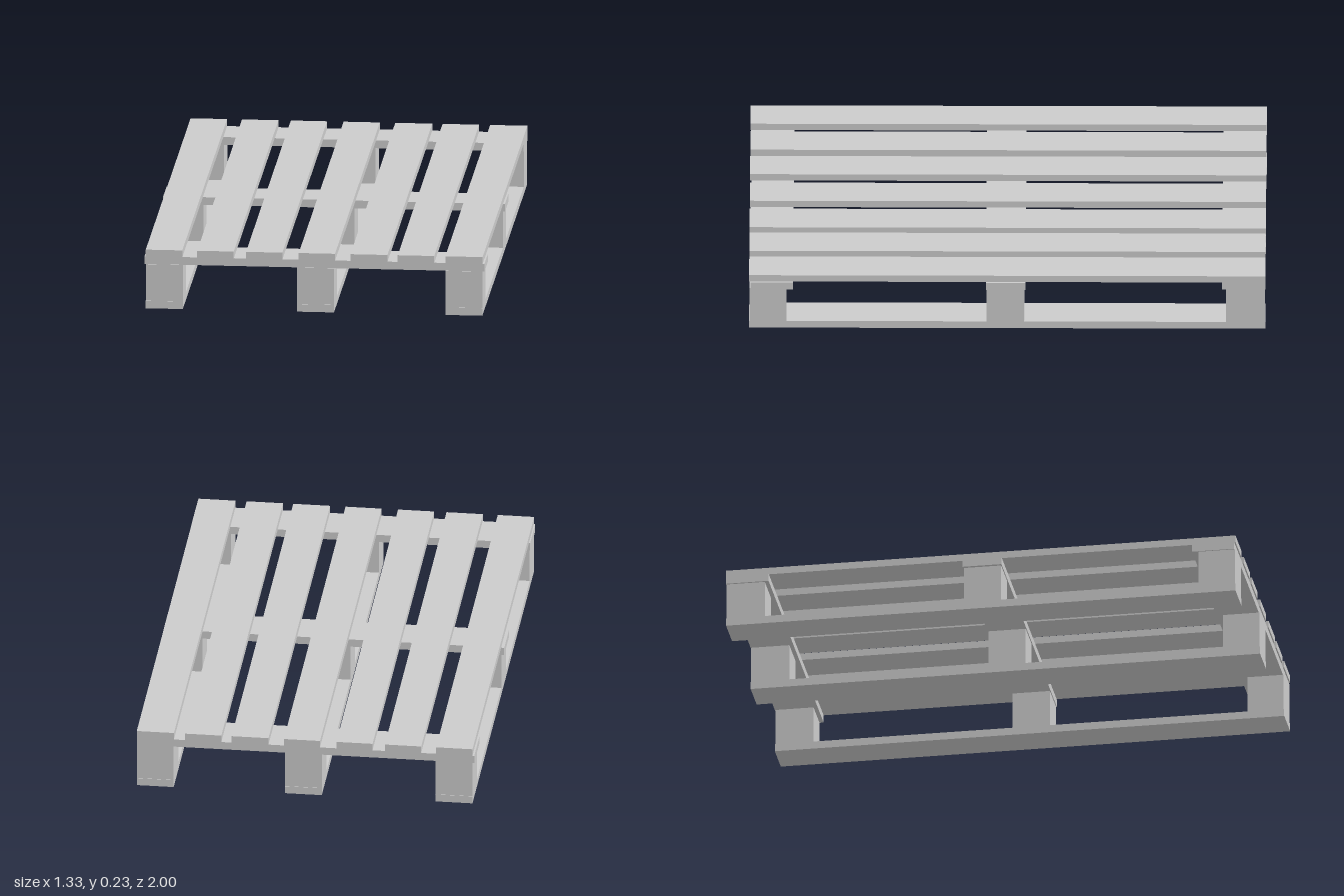
import * as THREE from 'three';

const material = new THREE.MeshStandardMaterial({ color: 0xcccccc, flatShading: true });

// Box given by its min/max extents on each axis
function board(name, [x0, x1], [y0, y1], [z0, z1]) {
  const mesh = new THREE.Mesh(new THREE.BoxGeometry(x1 - x0, y1 - y0, z1 - z0), material);
  mesh.position.set((x0 + x1) / 2, (y0 + y1) / 2, (z0 + z1) / 2);
  mesh.name = name;
  return mesh;
}

export function createModel() {
  const pallet = new THREE.Group();
  pallet.name = 'pallet';

  // Seven lengthwise deck slats
  const slats = [[-0.655, -0.513], [-0.455, -0.313], [-0.265, -0.124], [-0.06, 0.081],
    [0.141, 0.285], [0.325, 0.467], [0.51, 0.655]];
  slats.forEach((x) => pallet.add(board('deckSlat', x, [0.207, 0.235], [-1, 1])));

  // Three crosswise boards under the deck, slightly overhanging
  const crossBoards = [
    [[-0.662, 0.655], [-1, -0.832]],
    [[-0.667, 0.662], [-0.07, 0.083]],
    [[-0.66, 0.662], [0.83, 0.995]],
  ];
  crossBoards.forEach(([x, z]) => pallet.add(board('crossBoard', x, [0.176, 0.207], z)));

  // Three bottom runners, each with three spacer blocks
  const runners = [[-0.655, -0.511], [-0.067, 0.077], [0.511, 0.654]];
  const blocks = [[-0.998, -0.848], [-0.066, 0.08], [0.855, 0.998]];
  runners.forEach((x) => {
    pallet.add(board('bottomRunner', x, [0, 0.03], [-1, 1]));
    blocks.forEach((z) => pallet.add(board('spacerBlock', x, [0.03, 0.176], z)));
  });

  return pallet;
}
